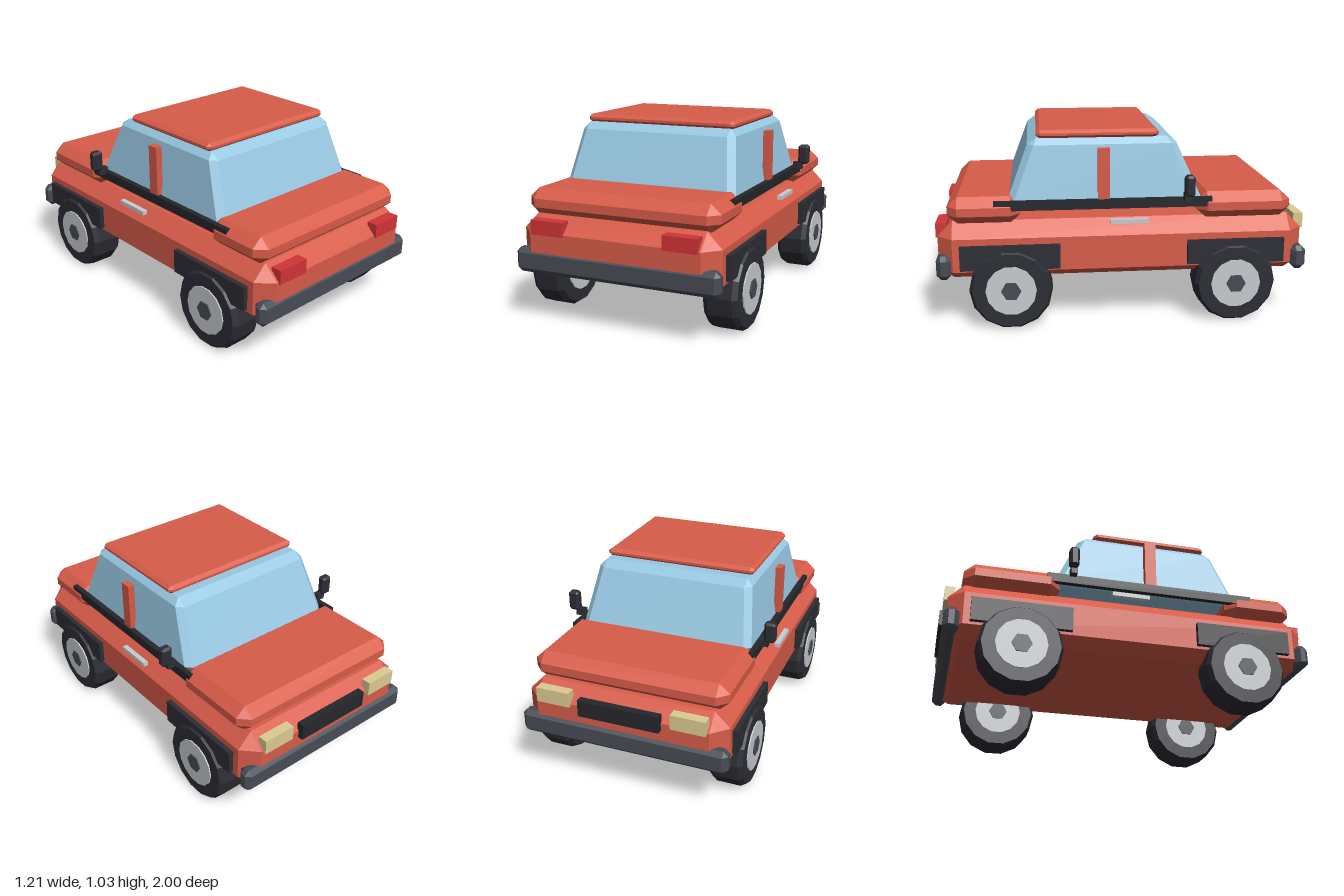
import * as THREE from 'three';

const mat = (name, color) => {
  const m = new THREE.MeshStandardMaterial({ color });
  m.name = name;
  return m;
};

// Octagonal outline, counter-clockwise from above; cut trims the four corners
function ring([y, hx, z0, z1, c]) {
  return [[-hx + c, z1], [hx - c, z1], [hx, z1 - c], [hx, z0 + c],
    [hx - c, z0], [-hx + c, z0], [-hx, z0 + c], [-hx, z1 - c]]
    .map(([x, z]) => new THREE.Vector3(x, y, z));
}

// Faceted solid through rings [y, halfWidth, zMin, zMax, cornerCut], bottom to top
function loft(sections) {
  const rings = sections.map(ring), pos = [];
  const tri = (a, b, c) => {
    const area = b.clone().sub(a).cross(c.clone().sub(a)).length();
    if (area > 1e-8) for (const p of [a, b, c]) pos.push(p.x, p.y, p.z);
  };
  for (let r = 0; r < rings.length - 1; r++) {
    const a = rings[r], b = rings[r + 1];
    for (let i = 0; i < 8; i++) {
      const j = (i + 1) % 8;
      tri(a[i], a[j], b[j]);
      tri(a[i], b[j], b[i]);
    }
  }
  const low = rings[0], top = rings[rings.length - 1];
  for (let i = 1; i < 7; i++) {
    tri(low[0], low[i + 1], low[i]);
    tri(top[0], top[i], top[i + 1]);
  }
  const g = new THREE.BufferGeometry();
  g.setAttribute('position', new THREE.Float32BufferAttribute(pos, 3));
  g.computeVertexNormals();
  return g;
}

// Box with every edge bevelled by c, and by cy vertically
function bevelBox(hx, y0, y1, z0, z1, c, cy = c) {
  return loft([
    [y0, hx - c, z0 + c, z1 - c, 0],
    [y0 + cy, hx, z0, z1, c],
    [y1 - cy, hx, z0, z1, c],
    [y1, hx - c, z0 + c, z1 - c, 0],
  ]);
}

function box(x0, x1, y0, y1, z0, z1) {
  return new THREE.BoxGeometry(x1 - x0, y1 - y0, z1 - z0)
    .translate((x0 + x1) / 2, (y0 + y1) / 2, (z0 + z1) / 2);
}

function flat(geometry) {
  const g = geometry.toNonIndexed();
  g.computeVertexNormals();
  return g;
}

export function createModel() {
  const paint = mat('red paint', 0xd85c49);
  const glass = mat('blue glass', 0x98c8e2);
  const rubber = mat('black rubber', 0x2d2d36);
  const trim = mat('black trim', 0x25272b);
  const slate = mat('slate grey', 0x474c55);
  const silver = mat('silver', 0xc8cdd1);
  const tailRed = mat('tail light red', 0xd23436);
  const lampCream = mat('headlight cream', 0xdccb92);

  const car = new THREE.Group();
  car.name = 'car';
  const add = (name, geometry, material, parent = car) => {
    const m = new THREE.Mesh(geometry, material);
    m.name = name;
    parent.add(m);
    return m;
  };

  // Lower body, with the two raised decks
  add('body', loft([
    [0.26, 0.47, -0.89, 0.91, 0],
    [0.31, 0.55, -0.97, 0.99, 0.08],
    [0.49, 0.55, -0.97, 0.99, 0.08],
    [0.57, 0.47, -0.89, 0.91, 0],
  ]), paint);
  add('trunkLid', bevelBox(0.53, 0.555, 0.7, 0.55, 0.935, 0.055, 0.05), paint);
  add('hood', bevelBox(0.53, 0.555, 0.7, -0.9, -0.39, 0.055, 0.05), paint);

  // Cabin
  add('cabinGlass', loft([
    [0.64, 0.46, -0.38, 0.59, 0],
    [0.67, 0.49, -0.415, 0.62, 0.035],
    [0.96, 0.445, -0.285, 0.51, 0.035],
    [0.995, 0.41, -0.23, 0.46, 0],
  ]), glass);
  add('roof', bevelBox(0.43, 0.99, 1.035, -0.19, 0.462, 0.02, 0.016), paint);

  // Bumpers, lights and grille
  add('tailBumper', bevelBox(0.565, 0.27, 0.4, 0.92, 0.997, 0.025), slate);
  add('noseBumper', bevelBox(0.565, 0.27, 0.4, -0.985, -0.905, 0.025), slate);
  add('grille', box(-0.22, 0.22, 0.45, 0.54, -1, -0.96), trim);

  for (const [side, s] of [['left', 1], ['right', -1]]) {
    const mirrored = (name, x0, x1, y0, y1, z0, z1, material) =>
      add(side + name, box(Math.min(s * x0, s * x1), Math.max(s * x0, s * x1),
        y0, y1, z0, z1), material);

    mirrored('TailLight', 0.275, 0.458, 0.48, 0.556, 0.94, 1, tailRed);
    mirrored('Headlight', 0.275, 0.458, 0.48, 0.56, -0.988, -0.935, lampCream);
    mirrored('WindowSill', 0.495, 0.525, 0.63, 0.68, -0.465, 0.69, trim);
    mirrored('DoorPillar', 0.478, 0.515, 0.67, 0.95, 0.08, 0.143, paint);
    mirrored('DoorHandle', 0.545, 0.573, 0.56, 0.583, -0.12, 0.085, silver);
    mirrored('MirrorStem', 0.515, 0.568, 0.67, 0.71, -0.345, -0.31, rubber);
    const mirror = add(side + 'Mirror',
      bevelBox(0.031, 0.7, 0.812, -0.358, -0.307, 0.012), rubber);
    mirror.position.x = s * 0.576;

    // Wheel arches and wheels
    for (const [end, z] of [['Tail', 0.61], ['Nose', -0.592]]) {
      mirrored(end + 'Arch', 0.53, 0.576, 0.325, 0.455, z - 0.262, z + 0.262, rubber);
      const wheel = new THREE.Group();
      wheel.name = side + end + 'Wheel';
      wheel.position.set(s * 0.497, 0.2145, z);
      wheel.rotation.z = -s * Math.PI / 2;
      car.add(wheel);
      const profile = [[0, -0.091], [0.203, -0.091], [0.22, -0.065],
        [0.22, 0.065], [0.203, 0.091], [0, 0.091]]
        .map(([r, y]) => new THREE.Vector2(r, y));
      add('tyre', flat(new THREE.LatheGeometry(profile, 14)), rubber, wheel);
      add('rim', flat(new THREE.CylinderGeometry(0.134, 0.134, 0.196, 14)), silver, wheel);
      add('hub', flat(new THREE.CylinderGeometry(0.053, 0.053, 0.208, 6)), slate, wheel);
    }
  }
  return car;
}
